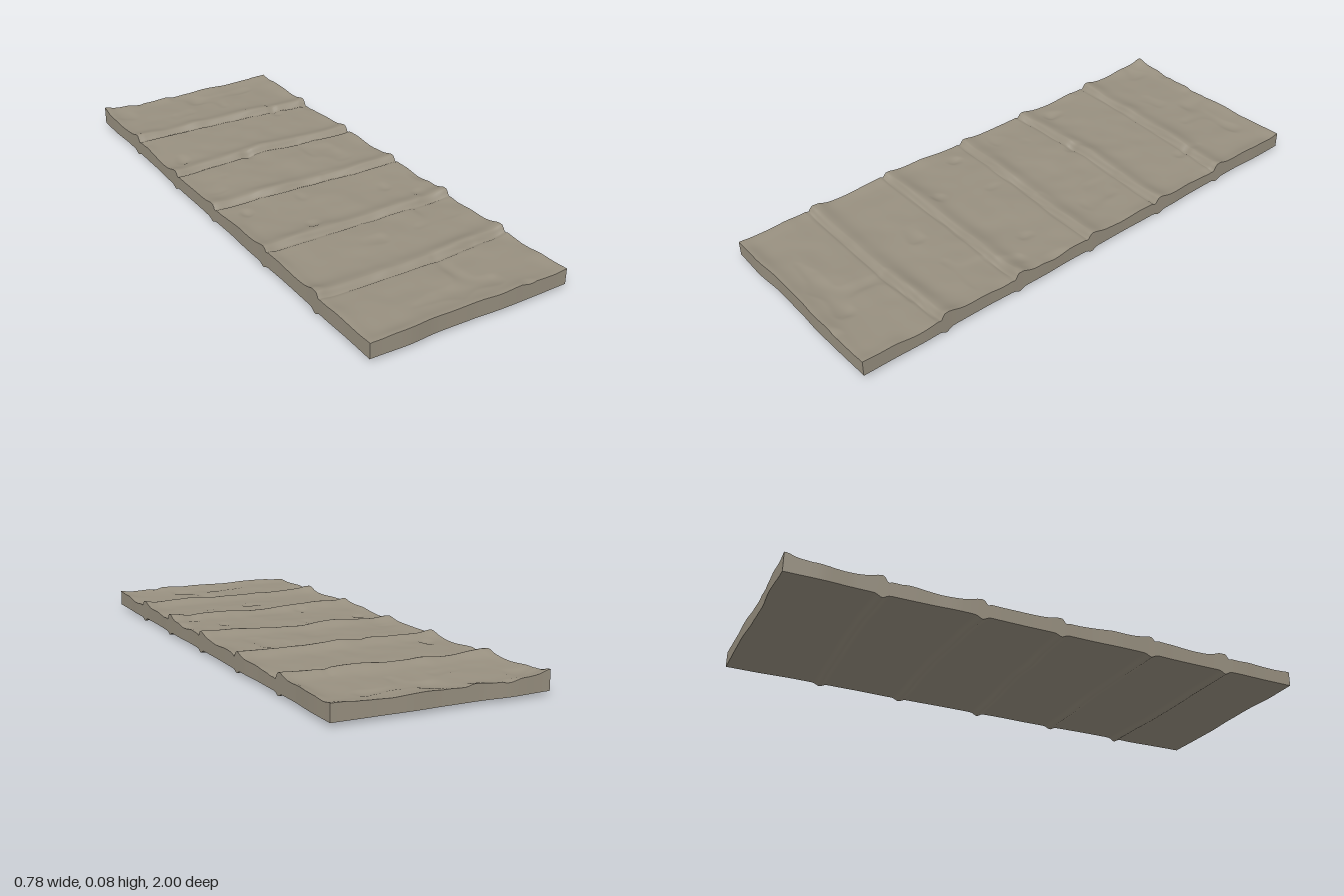
import * as THREE from 'three';

const HALF_W = 0.39, HALF_L = 0.995;
// joints between the blocks: z at the left end, middle and right end
const JOINTS = [
  [-0.665, -0.66, -0.64],
  [-0.31, -0.325, -0.312],
  [0.0, 0.008, 0.02],
  [0.365, 0.35, 0.36],
  [0.695, 0.688, 0.675],
];

// repeatable value noise, -1..1
function hash(i, j) {
  const s = Math.sin(i * 127.1 + j * 311.7) * 43758.5453;
  return (s - Math.floor(s)) * 2 - 1;
}
function noise(x, z) {
  const i = Math.floor(x), j = Math.floor(z);
  const u = THREE.MathUtils.smoothstep(x - i, 0, 1);
  const v = THREE.MathUtils.smoothstep(z - j, 0, 1);
  const a = THREE.MathUtils.lerp(hash(i, j), hash(i + 1, j), u);
  const b = THREE.MathUtils.lerp(hash(i, j + 1), hash(i + 1, j + 1), u);
  return THREE.MathUtils.lerp(a, b, v);
}
const bump = (d, w) => Math.exp(-(d * d) / (w * w));

// wandering centre line of a joint
function jointZ([l, m, r], x) {
  const t = x / HALF_W;
  const base = t < 0 ? THREE.MathUtils.lerp(m, l, -t) : THREE.MathUtils.lerp(m, r, t);
  return base + 0.006 * noise(x * 9 + m * 20, m * 7);
}

// worn upper face: shallow dents, raised lips at joints and rims
function topHeight(x, z) {
  let y = 0.063 + 0.004 * noise(x * 6, z * 6) + 0.002 * noise(x * 16 + 5, z * 16);
  for (const joint of JOINTS) {
    const d = z - jointZ(joint, x);
    const lip = 0.015 + 0.004 * noise(x * 8, joint[1] * 30);
    y += lip * bump(d, d > 0 ? 0.014 : 0.045);   // steep on the front side
    y -= 0.007 * bump(d - 0.02, 0.007);          // crack beside the lip
  }
  const end = HALF_L - Math.abs(z), side = HALF_W - Math.abs(x);
  y += (0.008 + 0.007 * noise(x * 10, z * 3)) * bump(end, 0.035);
  y += (0.004 + 0.008 * noise(z * 9, x * 4 + 2)) * bump(side, 0.03);
  // chips and gouges
  const chip = noise(x * 13 + 40, z * 10);
  if (chip > 0.55) y -= (chip - 0.55) * 0.016;
  return Math.min(y, 0.085);
}

// flat underside with a narrow bead below every joint
function bottomHeight(x, z) {
  let y = 0.014 + 0.001 * noise(x * 5, z * 5 + 9);
  for (const joint of JOINTS) {
    y -= (0.011 + 0.002 * noise(x * 7, joint[0] * 20)) * bump(z - jointZ(joint, x), 0.016);
  }
  return Math.max(y, 0);
}

export function createModel() {
  const group = new THREE.Group();
  group.name = 'stonePath';
  const stone = new THREE.MeshStandardMaterial({ color: 0x989080 });
  stone.name = 'weathered stone';

  // one continuous slab: the box is split finely and its faces reshaped
  const geometry = new THREE.BoxGeometry(HALF_W * 2, 1, HALF_L * 2, 72, 3, 280);
  const pos = geometry.attributes.position;
  for (let i = 0; i < pos.count; i++) {
    const x = pos.getX(i), z = pos.getZ(i), t = pos.getY(i) + 0.5;
    const y = THREE.MathUtils.lerp(bottomHeight(x, z), topHeight(x, z), t);
    // slightly uneven outline
    const dx = 0.003 * noise(z * 8, 3) * (x / HALF_W) ** 5;
    const dz = 0.004 * noise(x * 8, 7) * (z / HALF_L) ** 9;
    pos.setXYZ(i, x + dx, y, z + dz);
  }
  geometry.computeVertexNormals();
  const slab = new THREE.Mesh(geometry, stone);
  slab.name = 'jointedSlab';
  group.add(slab);
  return group;
}
